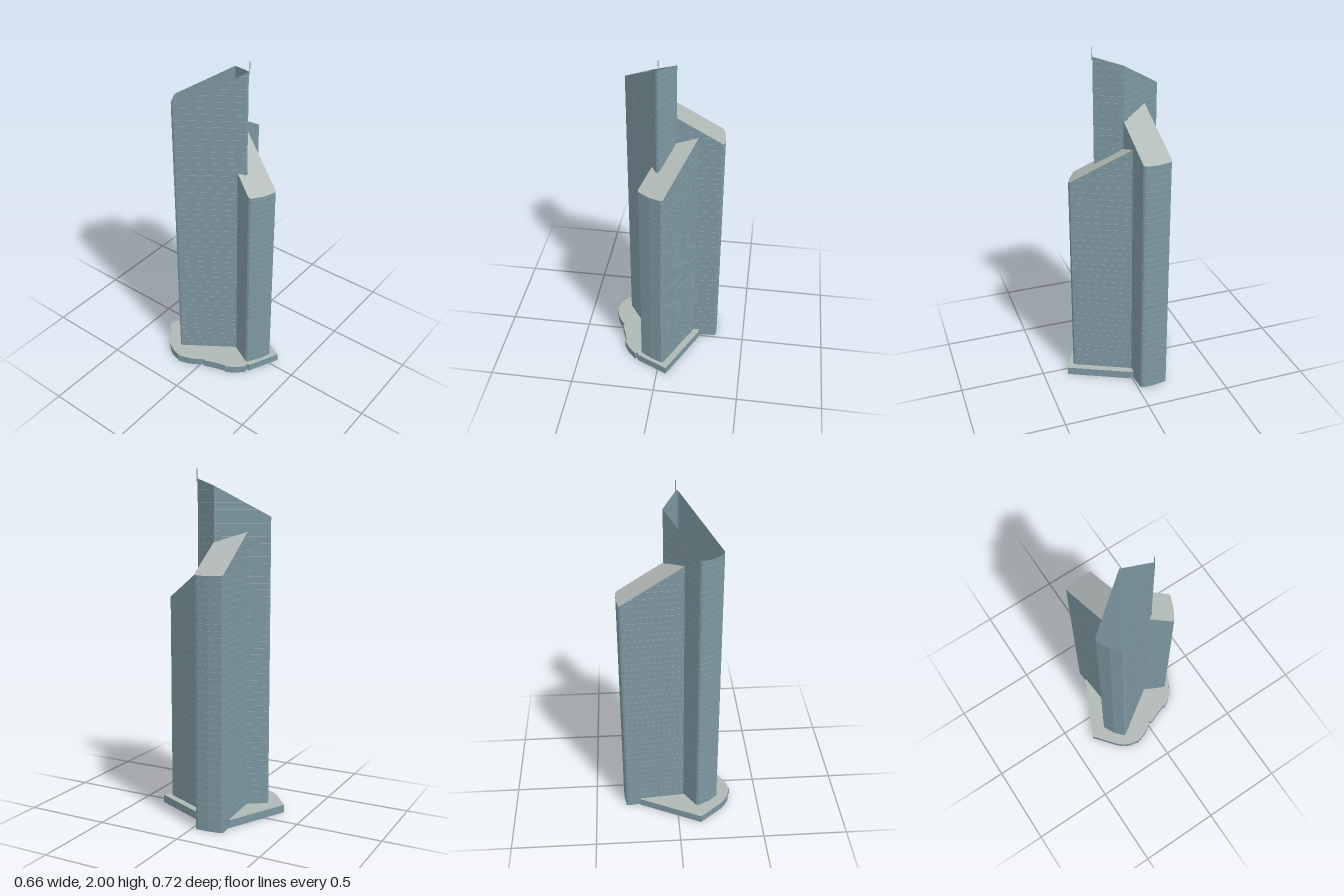
import * as THREE from 'three';

const wallMat = new THREE.MeshStandardMaterial({ color: 0x7d97a1, side: THREE.DoubleSide });
wallMat.name = 'blue grey glass';
const roofMat = new THREE.MeshStandardMaterial({ color: 0xb0b8b6 });
roofMat.name = 'pale grey roof';

// Plans are [x, z] lists running counterclockwise seen from above.
function counterclockwise(plan) {
  const flat = plan.map(([x, z]) => new THREE.Vector2(x, -z));
  return THREE.ShapeUtils.isClockWise(flat) ? [...plan].reverse() : plan;
}

// Sloped roof height that falls along a wing's outward direction
const slope = (dx, dz, height, fall) => (x, z) => height - fall * (x * dx + z * dz);

// Solid prism whose top follows the roof rule
function prism(name, plan, roof) {
  const shape = new THREE.Shape(counterclockwise(plan).map(([x, z]) => new THREE.Vector2(x, -z)));
  const geo = new THREE.ExtrudeGeometry(shape, { depth: 1, bevelEnabled: false });
  geo.rotateX(-Math.PI / 2);
  const p = geo.attributes.position;
  for (let i = 0; i < p.count; i++) {
    if (p.getY(i) > 0.5) p.setY(i, roof(p.getX(i), p.getZ(i)));
  }
  geo.computeVertexNormals();
  const mesh = new THREE.Mesh(geo, [roofMat, wallMat]);
  mesh.name = name;
  return mesh;
}

function meshFromTriangles(name, positions, material) {
  const geo = new THREE.BufferGeometry();
  geo.setAttribute('position', new THREE.Float32BufferAttribute(positions, 3));
  geo.computeVertexNormals();
  const mesh = new THREE.Mesh(geo, material);
  mesh.name = name;
  return mesh;
}

// Upright quad between two plan points
function pushQuad(out, a, b, a0, a1, b0, b1) {
  out.push(a[0], a0, a[1], b[0], b0, b[1], b[0], b1, b[1]);
  out.push(a[0], a0, a[1], b[0], b1, b[1], a[0], a1, a[1]);
}

// Open-topped ring of walls
function openWalls(name, plan, roof) {
  const pts = counterclockwise(plan), out = [];
  pts.forEach((a, i) => {
    const b = pts[(i + 1) % pts.length];
    pushQuad(out, a, b, 0, roof(...a), 0, roof(...b));
  });
  return meshFromTriangles(name, out, wallMat);
}

// Hairline floor bands, clipped where a wall drops below the floor level
function floorBands(name, plan, roof) {
  const pts = counterclockwise(plan), out = [];
  const thick = 0.0014, lift = 0.0008;
  pts.forEach((p, i) => {
    const q = pts[(i + 1) % pts.length];
    const dx = q[0] - p[0], dz = q[1] - p[1], len = Math.hypot(dx, dz);
    const hp = roof(...p), hq = roof(...q);
    const at = t => [p[0] + dx * t - dz / len * lift, p[1] + dz * t + dx / len * lift];
    for (let y = 0.085; y < Math.max(hp, hq) - 0.01; y += 0.0375) {
      const top = y + thick;
      let t0 = 0, t1 = 1;
      const cut = (top - hp) / (hq - hp || 1);
      if (hp < top) t0 = cut;
      if (hq < top) t1 = cut;
      if (t1 - t0 > 0.01) pushQuad(out, at(t0), at(t1), y, top, y, top);
    }
  });
  return meshFromTriangles(name, out, roofMat);
}

export function createModel() {
  const model = new THREE.Group();
  model.name = 'tower';

  // Podium with one faceted, curving edge
  const podium = [
    [-0.135, -0.36], [-0.27, -0.25], [-0.295, -0.22], [-0.315, -0.185], [-0.325, -0.14],
    [-0.325, -0.13], [-0.332, -0.128], [-0.31, -0.06], [-0.285, -0.015], [-0.26, 0.015],
    [-0.268, 0.025], [-0.24, 0.095], [-0.222, 0.155], [-0.228, 0.162], [-0.2, 0.21],
    [-0.15, 0.262], [-0.145, 0.253], [-0.128, 0.26], [-0.13, 0.27], [0.055, 0.358],
    [0.22, 0.015], [0.22, -0.01], [0.23, -0.185],
  ];
  model.add(prism('podium', podium, () => 0.047));

  // Wing running to the model's left
  const sidePlan = [
    [-0.04, -0.157], [0.045, -0.03], [0.055, -0.025], [0.065, 0.003], [0.318, -0.017],
    [0.327, -0.025], [0.33, -0.04], [0.328, -0.1], [0.315, -0.18], [0.303, -0.185],
  ];
  const sideRoof = slope(0.997, -0.08, 1.634, 0.607);

  // Wing running to the front
  const frontPlan = [
    [0.065, 0.003], [-0.01, 0.152], [-0.027, 0.153], [-0.055, 0.115], [-0.113, 0.232],
    [-0.11, 0.245], [-0.045, 0.285], [0.02, 0.312], [0.034, 0.308], [0.186, -0.007],
  ];
  const frontRoof = slope(-0.45, 0.89, 1.422, 0.597);

  // Tall wing running to the back, open at the top
  const dx = -0.568, dz = -0.823;
  const tallPlan = [
    [-0.039, 0.052], [0.275, 0.053], [0.286, 0.046], [0.297, -0.03],
    [0.288, -0.1], [0.278, -0.106], [-0.105, -0.106], [-0.115, -0.098],
  ].map(([s, v]) => [s * dx - v * dz, s * dz + v * dx]);
  const tallRoof = slope(dx, dz, 1.885, 0.53);

  model.add(prism('sideWing', sidePlan, sideRoof));
  model.add(prism('frontWing', frontPlan, frontRoof));
  model.add(openWalls('tallWing', tallPlan, tallRoof));
  model.add(floorBands('sideWingFloorLines', sidePlan, sideRoof));
  model.add(floorBands('frontWingFloorLines', frontPlan, frontRoof));
  model.add(floorBands('tallWingFloorLines', tallPlan, tallRoof));

  // Thin mast at the highest corner
  const mast = new THREE.Mesh(new THREE.BoxGeometry(0.003, 0.07, 0.003), wallMat);
  mast.name = 'mast';
  mast.position.set(-0.012, 1.965, 0.153);
  model.add(mast);

  return model;
}
